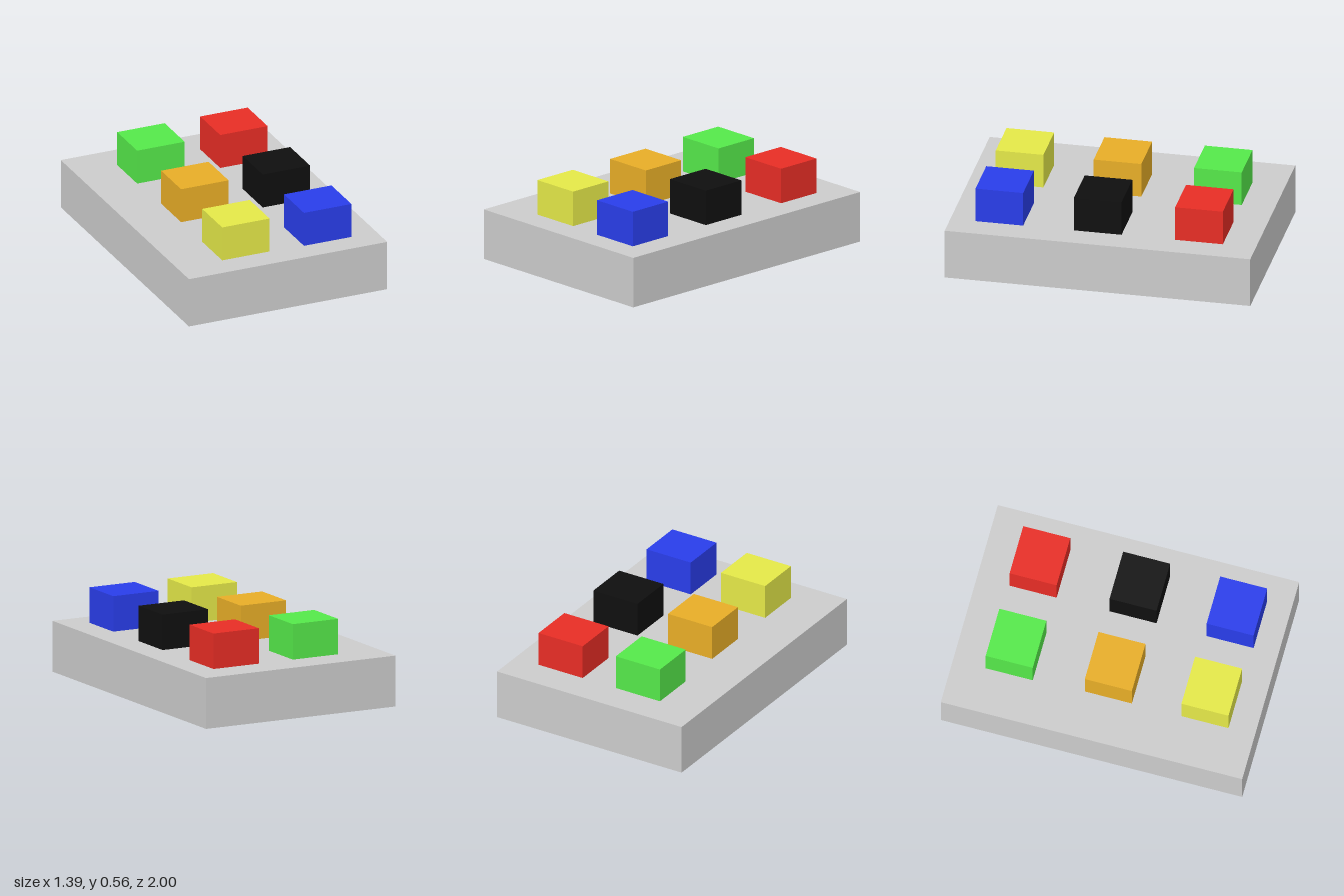
import * as THREE from 'three';

const BASE_HEIGHT = 0.333;
const BLOCK = { width: 0.333, height: 0.232, depth: 0.312 };

// A box standing on the given height
function box(name, width, height, depth, x, bottom, z, color) {
  const mesh = new THREE.Mesh(
    new THREE.BoxGeometry(width, height, depth),
    new THREE.MeshStandardMaterial({ color })
  );
  mesh.name = name;
  mesh.position.set(x, bottom + height / 2, z);
  return mesh;
}

export function createModel() {
  const model = new THREE.Group();
  model.name = 'buttonPad';

  // Base slab
  model.add(box('base', 1.392, BASE_HEIGHT, 2, 0, 0, 0, 0xcccccc));

  // Coloured buttons: name, x, z, color
  const buttons = [
    ['greenButton', -0.231, -0.627, 0x55e84a],
    ['redButton', 0.352, -0.627, 0xe72d25],
    ['orangeButton', -0.217, 0.027, 0xe7ad27],
    ['blackButton', 0.352, 0.036, 0x0f0f0f],
    ['yellowButton', -0.217, 0.668, 0xe4e848],
    ['blueButton', 0.352, 0.68, 0x293dea],
  ];
  for (const [name, x, z, color] of buttons) {
    model.add(box(name, BLOCK.width, BLOCK.height, BLOCK.depth, x, BASE_HEIGHT, z, color));
  }
  return model;
}
